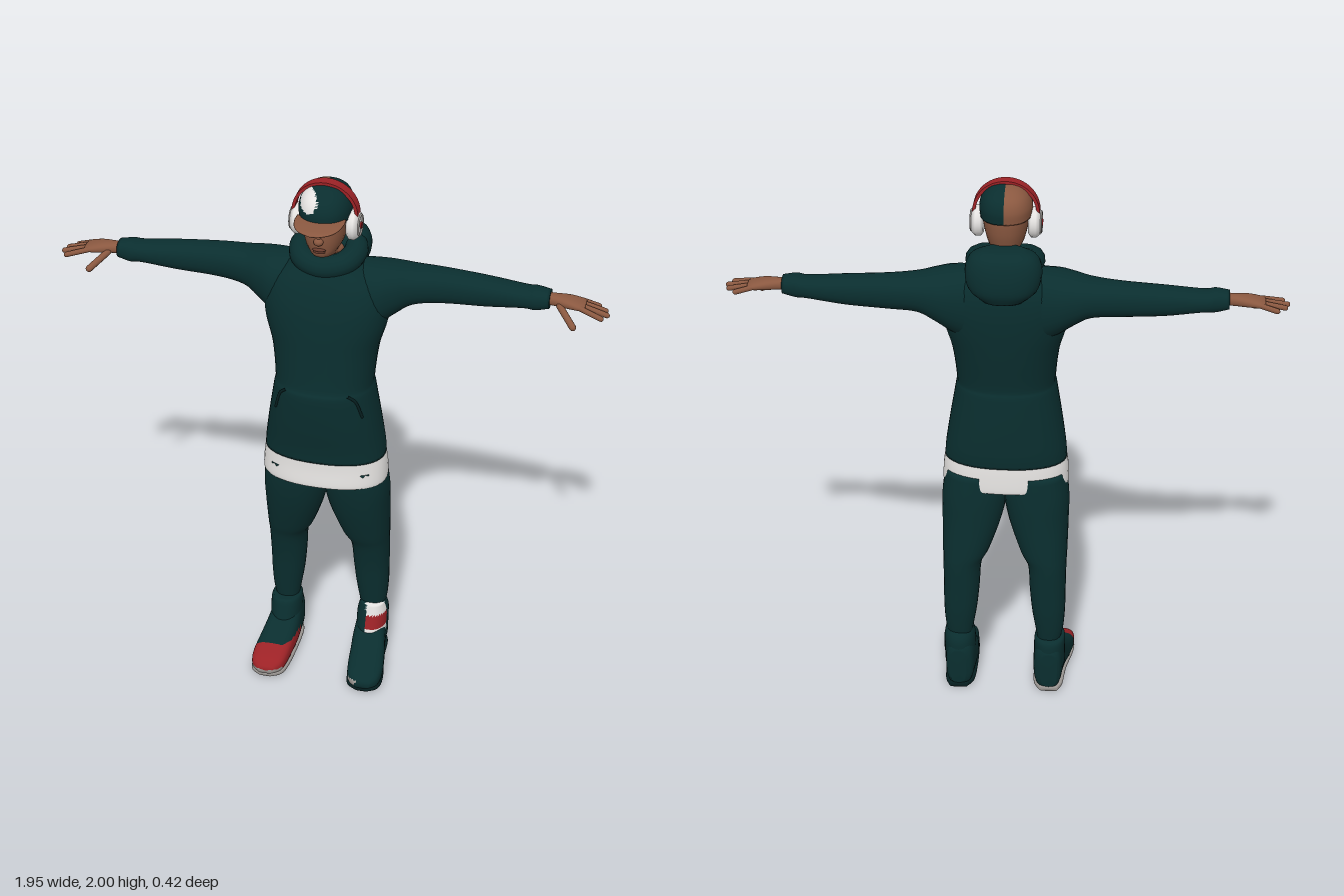
import * as THREE from 'three';

const mat = (name, color) => Object.assign(new THREE.MeshStandardMaterial({ color }), { name });
const green = mat('darkGreenCloth', 0x0a2e2f);
const deep = mat('deepGreenTrim', 0x061f20);
const skin = mat('brownSkin', 0x8a5840);
const lip = mat('lipBrown', 0x683c2e);
const white = mat('whiteCloth', 0xe6e4e2);
const grey = mat('soleGrey', 0x9c9894);
const red = mat('red', 0x9c2226);
const hair = mat('browBrown', 0x24160f);
const iris = mat('eyeTeal', 0x2f5a60);

// Axis letters of a cross-section (a, b) and its direction of travel t.
const AXES = { y: ['z', 'x', 'y'], x: ['y', 'z', 'x'], z: ['x', 'y', 'z'] };

// Smooth body through rows [t, aMin, aMax, bMin, bMax], t rising; paint(centre) picks a material index.
function loft(name, axis, rows, material, { p = 2.3, n = 28, steps = 5, paint } = {}) {
  const [A, B, T] = AXES[axis];
  const curve = (f) => new THREE.CatmullRomCurve3(rows.map(f), false, 'catmullrom', 0.5);
  const mid = curve((r) => new THREE.Vector3((r[1] + r[2]) / 2, (r[3] + r[4]) / 2, r[0]));
  const half = curve((r) => new THREE.Vector3((r[2] - r[1]) / 2, (r[4] - r[3]) / 2, 0));
  const m = (rows.length - 1) * steps, pts = [];
  const add = (a, b, t) => pts.push(Object.assign(new THREE.Vector3(), { [A]: a, [B]: b, [T]: t }));
  const bend = (v) => Math.sign(v) * Math.abs(v) ** (2 / p);
  for (let i = 0; i <= m; i++) {
    const c = mid.getPoint(i / m), h = half.getPoint(i / m);
    for (let j = 0; j < n; j++) {
      const q = (j / n) * Math.PI * 2;
      add(c.x + h.x * bend(Math.cos(q)), c.y + h.y * bend(Math.sin(q)), c.z);
    }
  }
  for (const u of [0, 1]) { const c = mid.getPoint(u); add(c.x, c.y, c.z); }
  const tris = [], base = (m + 1) * n;
  for (let j = 0; j < n; j++) {
    const k = (j + 1) % n;
    for (let i = 0; i < m; i++) {
      const a = i * n + j, b = i * n + k;
      tris.push([a, b, b + n], [a, b + n, a + n]);
    }
    tris.push([base, k, j], [base + 1, m * n + j, m * n + k]);
  }
  const geo = new THREE.BufferGeometry().setFromPoints(pts);
  if (paint) {
    const sets = material.map(() => []);
    for (const t of tris) {
      const c = new THREE.Vector3();
      t.forEach((i) => c.addScaledVector(pts[i], 1 / 3));
      sets[paint(c)].push(...t);
    }
    let start = 0;
    sets.forEach((s, i) => { geo.addGroup(start, s.length, i); start += s.length; });
    geo.setIndex(sets.flat());
  } else geo.setIndex(tris.flat());
  geo.computeVertexNormals();
  return part(name, geo, material);
}

function part(name, geo, material, x = 0, y = 0, z = 0) {
  const mesh = new THREE.Mesh(geo, material);
  mesh.name = name;
  mesh.position.set(x, y, z);
  return mesh;
}

// Rows for the other side of the body when the b range (axis y) or a range (axis z) is x.
const flipY = (rows, s) => rows.map(([t, a, b, c, d]) => (s > 0 ? [t, a, b, c, d] : [t, a, b, -d, -c]));
const flipZ = (rows, s) => rows.map(([t, a, b, c, d]) => (s > 0 ? [t, a, b, c, d] : [t, -b, -a, c, d]));
const flipX = (rows, s) => (s > 0 ? rows : rows.map(([t, ...r]) => [-t, ...r]).reverse());

// Rounded finger between two points.
function finger(name, from, to, r) {
  const a = new THREE.Vector3(...from), b = new THREE.Vector3(...to), d = b.clone().sub(a);
  const mesh = part(name, new THREE.CapsuleGeometry(r, d.length() - r, 4, 10), skin);
  mesh.position.copy(a.add(b).multiplyScalar(0.5));
  mesh.quaternion.setFromUnitVectors(new THREE.Vector3(0, 1, 0), d.normalize());
  return mesh;
}

function tube(name, pts, r, material, closed = false) {
  const c = new THREE.CatmullRomCurve3(pts.map((q) => new THREE.Vector3(...q)), closed);
  return part(name, new THREE.TubeGeometry(c, 48, r, 12, closed), material);
}

function makeHead() {
  const g = new THREE.Group();
  g.name = 'head';
  g.add(loft('face', 'y', [
    [1.66, -0.09, 0.02, -0.055, 0.055], [1.735, -0.085, 0.03, -0.055, 0.055],
    [1.755, -0.087, 0.088, -0.045, 0.045], [1.79, -0.095, 0.1, -0.063, 0.063],
    [1.84, -0.108, 0.105, -0.075, 0.075], [1.9, -0.11, 0.1, -0.08, 0.08], [1.95, -0.08, 0.07, -0.06, 0.06],
  ], skin));
  const blob = (name, m, x, y, z, sx, sy, sz) => {
    const b = part(name, new THREE.SphereGeometry(1, 16, 10), m, x, y, z);
    b.scale.set(sx, sy, sz);
    g.add(b);
  };
  blob('nose', skin, 0, 1.822, 0.106, 0.017, 0.014, 0.016);
  blob('noseBridge', skin, 0, 1.842, 0.102, 0.009, 0.024, 0.011);
  blob('upperLip', lip, 0, 1.789, 0.1, 0.024, 0.006, 0.008);
  blob('lowerLip', lip, 0, 1.78, 0.098, 0.021, 0.006, 0.008);
  for (const s of [-1, 1]) {
    blob('eye', white, s * 0.032, 1.854, 0.098, 0.013, 0.006, 0.004);
    blob('iris', iris, s * 0.032, 1.854, 0.1, 0.007, 0.006, 0.004);
    blob('eyebrow', hair, s * 0.033, 1.869, 0.098, 0.018, 0.004, 0.005);
  }
  // Cap with one bare panel behind and a pale patch in front
  g.add(loft('cap', 'y', [
    [1.88, -0.115, 0.11, -0.088, 0.088], [1.92, -0.117, 0.107, -0.09, 0.09], [1.955, -0.103, 0.088, -0.078, 0.078],
    [1.98, -0.07, 0.053, -0.052, 0.052], [1.99, -0.035, 0.02, -0.022, 0.022],
  ], [green, skin, white], { n: 40, steps: 8, paint: (c) => {
    if (c.x < 0 && c.z < -0.01) return 1;
    return Math.hypot((c.x + 0.043) / 0.034, (c.y - 1.95) / 0.032) < 1 && c.z > 0 ? 2 : 0;
  } }));
  g.add(loft('capBrim', 'z', [
    [0.06, -0.085, 0.085, 1.886, 1.896], [0.1, -0.085, 0.085, 1.885, 1.895], [0.14, -0.075, 0.075, 1.881, 1.891],
    [0.167, -0.052, 0.052, 1.877, 1.887], [0.181, -0.018, 0.018, 1.876, 1.882],
  ], skin));
  return g;
}

function makeHeadphones() {
  const g = new THREE.Group();
  g.name = 'headphones';
  const arc = new THREE.Shape().absarc(0, 0, 0.115, 0, Math.PI, false);
  arc.absarc(0, 0, 0.104, Math.PI, 0, true);
  g.add(part('headband', new THREE.ExtrudeGeometry(arc, { depth: 0.04, bevelEnabled: false, curveSegments: 32 }), red, 0, 1.885, -0.02));
  const profile = [[0, 0], [0.042, 0], [0.053, 0.009], [0.054, 0.026], [0.042, 0.04], [0, 0.044]]
    .map((q) => new THREE.Vector2(...q));
  for (const s of [-1, 1]) {
    const cup = part('earCup', new THREE.LatheGeometry(profile, 28), white, s * 0.077, 1.848, 0);
    const ring = part('earCupRing', new THREE.TorusGeometry(0.035, 0.004, 8, 28), grey, s * 0.119, 1.848, 0);
    const hub = part('earCupHub', new THREE.CylinderGeometry(0.012, 0.012, 0.008, 18), red, s * 0.121, 1.848, 0);
    cup.rotation.z = hub.rotation.z = -s * Math.PI / 2;
    ring.rotation.y = Math.PI / 2;
    g.add(cup, ring, hub);
  }
  return g;
}

function makeArm(s) {
  const g = new THREE.Group();
  g.name = s > 0 ? 'leftArm' : 'rightArm';
  g.add(loft('sleeve', 'x', flipX([
    [0.08, 1.4, 1.695, -0.14, 0.06], [0.18, 1.46, 1.692, -0.155, 0.06], [0.24, 1.505, 1.685, -0.155, 0.035],
    [0.3, 1.54, 1.676, -0.15, 0.005], [0.4, 1.55, 1.67, -0.145, -0.02], [0.55, 1.558, 1.66, -0.135, -0.025],
    [0.68, 1.573, 1.648, -0.122, -0.025], [0.72, 1.572, 1.652, -0.115, -0.022], [0.768, 1.583, 1.645, -0.105, -0.03],
  ], s), green));
  g.add(loft('palm', 'x', flipX([
    [0.74, 1.595, 1.637, -0.092, -0.042], [0.78, 1.595, 1.635, -0.092, -0.042], [0.83, 1.594, 1.632, -0.102, -0.03],
    [0.87, 1.594, 1.623, -0.105, -0.026], [0.89, 1.597, 1.616, -0.098, -0.032],
  ], s), skin));
  const ends = [[0.87, -0.096, 0.935, -0.1], [0.875, -0.076, 0.962, -0.07], [0.875, -0.055, 0.97, -0.04], [0.87, -0.036, 0.953, -0.01]];
  for (const [x0, z0, x1, z1] of ends) g.add(finger('finger', [s * x0, 1.609, z0], [s * x1, 1.59, z1], 0.0095));
  g.add(finger('thumb', [s * 0.8, 1.608, -0.045], [s * 0.862, 1.555, 0.015], 0.012));
  return g;
}

function makeLeg(s) {
  const g = new THREE.Group();
  g.name = s > 0 ? 'leftLeg' : 'rightLeg';
  g.add(loft('trouserLeg', 'y', flipY([
    [0.19, -0.115, -0.03, 0.125, 0.205], [0.25, -0.125, -0.022, 0.115, 0.218], [0.33, -0.135, -0.012, 0.102, 0.224],
    [0.42, -0.14, 0, 0.093, 0.225], [0.52, -0.145, 0.022, 0.085, 0.226], [0.58, -0.145, 0.045, 0.055, 0.228],
    [0.7, -0.14, 0.08, 0.013, 0.23], [0.8, -0.137, 0.1, -0.006, 0.23], [0.9, -0.13, 0.11, -0.006, 0.215],
  ], s), green));
  // High shoe: the right one is red inside and at the toe, the left one mostly dark
  const shoePaint = s > 0
    ? (c) => (c.x < 0.165 && c.z > 0.13 && c.y < 0.045 ? 2 : 0)
    : (c) => {
      if (c.z > 0.17 && c.y < 0.035) return 2;
      return c.z > 0.12 || (c.x > -0.17 && c.z > -0.03 && c.y < 0.09) ? 1 : 0;
    };
  g.add(loft('shoe', 'z', flipZ([
    [-0.145, 0.14, 0.2, 0.02, 0.16], [-0.125, 0.115, 0.215, 0.006, 0.19], [-0.06, 0.108, 0.222, 0.006, 0.19],
    [0, 0.106, 0.23, 0.006, 0.155], [0.06, 0.11, 0.242, 0.006, 0.115], [0.13, 0.116, 0.25, 0.006, 0.087],
    [0.18, 0.128, 0.243, 0.008, 0.068], [0.208, 0.158, 0.215, 0.018, 0.042],
  ], s), [green, red, grey], { p: 3, paint: shoePaint }));
  g.add(loft('sole', 'z', flipZ([
    [-0.144, 0.135, 0.203, 0, 0.02], [-0.1, 0.112, 0.22, 0, 0.022], [0, 0.108, 0.228, 0, 0.022],
    [0.12, 0.113, 0.25, 0, 0.022], [0.18, 0.126, 0.244, 0, 0.022], [0.208, 0.16, 0.212, 0.005, 0.02],
  ], s), s > 0 ? deep : grey, { p: 4 }));
  g.add(loft('shoeCollar', 'y', flipY([
    [0.08, -0.142, 0.045, 0.112, 0.225], [0.14, -0.142, 0.025, 0.11, 0.225], [0.2, -0.138, 0.008, 0.112, 0.225],
    [s > 0 ? 0.245 : 0.215, -0.11, -0.004, 0.125, 0.215],
  ], s), [green, red, white], { steps: 6, n: 36, paint: (c) => {
    if (s < 0 || c.z < -0.045 || c.x < 0.155 || c.y < 0.125) return 0;
    return c.y > 0.152 && c.y < 0.205 ? 1 : 2;
  } }));
  return g;
}

export function createModel() {
  const model = new THREE.Group();
  model.name = 'figure';
  model.add(makeHead(), makeHeadphones());

  // Hooded top
  model.add(loft('hoodieBody', 'y', [
    [0.945, -0.135, 0.13, -0.22, 0.22], [1, -0.14, 0.135, -0.215, 0.215], [1.1, -0.14, 0.15, -0.2, 0.2],
    [1.22, -0.137, 0.16, -0.18, 0.18], [1.26, -0.132, 0.15, -0.175, 0.175], [1.38, -0.152, 0.14, -0.188, 0.188],
    [1.48, -0.165, 0.132, -0.215, 0.215], [1.56, -0.17, 0.12, -0.22, 0.22], [1.63, -0.165, 0.1, -0.195, 0.195],
    [1.69, -0.15, 0.075, -0.13, 0.13], [1.73, -0.12, 0.055, -0.085, 0.085],
  ], green, { n: 40 }));
  model.add(loft('hood', 'y', [
    [1.62, -0.195, -0.09, -0.07, 0.07], [1.66, -0.212, -0.05, -0.118, 0.118], [1.72, -0.208, -0.03, -0.132, 0.132],
    [1.77, -0.19, -0.045, -0.115, 0.115], [1.797, -0.16, -0.08, -0.07, 0.07],
  ], green));
  model.add(tube('hoodCollar', [[0, 1.695, 0.045], [0.075, 1.71, 0.02], [0.092, 1.73, -0.06],
    [0, 1.745, -0.13], [-0.092, 1.73, -0.06], [-0.075, 1.71, 0.02]], 0.042, green, true));
  for (const s of [-1, 1]) {
    model.add(tube('pocketSeam', [[s * 0.11, 1.245, 0.135], [s * 0.135, 1.22, 0.122], [s * 0.157, 1.15, 0.105]], 0.005, deep));
  }

  // Long undershirt below the top
  model.add(loft('undershirtHem', 'y', [
    [0.842, -0.13, 0.125, -0.22, 0.222], [0.85, -0.137, 0.132, -0.228, 0.228],
    [0.91, -0.135, 0.127, -0.225, 0.225], [0.965, -0.13, 0.125, -0.216, 0.216],
  ], white, { n: 40 }));

  for (const s of [-1, 1]) model.add(makeArm(s), makeLeg(s));
  return model;
}
